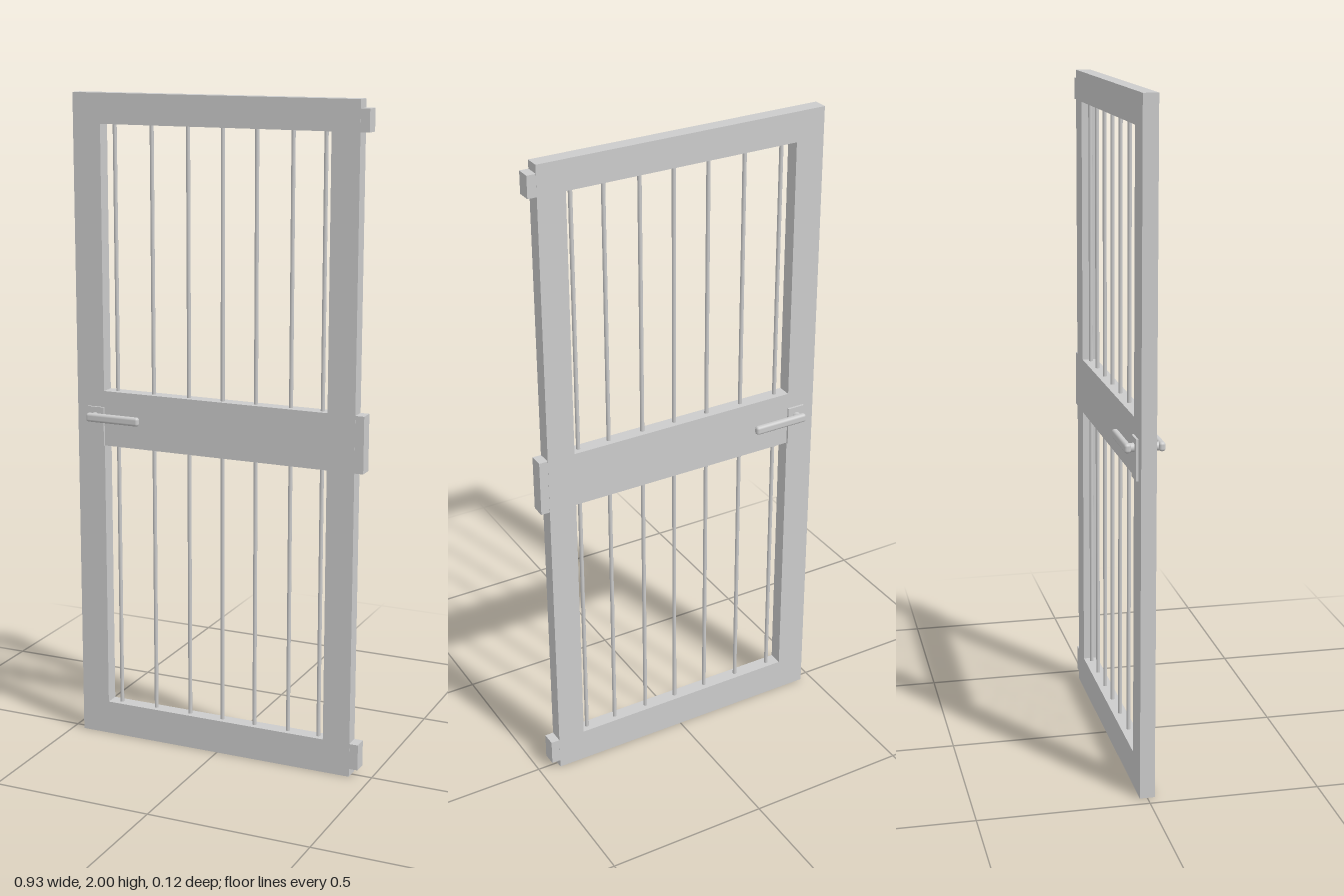
import * as THREE from 'three';
import { RoundedBoxGeometry } from 'three/addons/geometries/RoundedBoxGeometry.js';

const material = new THREE.MeshStandardMaterial({ color: 0xcccccc });

function add(parent, name, geometry, x = 0, y = 0, z = 0) {
  const mesh = new THREE.Mesh(geometry, material);
  mesh.name = name;
  mesh.position.set(x, y, z);
  parent.add(mesh);
  return mesh;
}

function rectangle(path, x0, y0, x1, y1) {
  path.moveTo(x0, y0);
  path.lineTo(x1, y0);
  path.lineTo(x1, y1);
  path.lineTo(x0, y1);
  path.closePath();
  return path;
}

export function createModel() {
  const gate = new THREE.Group();
  gate.name = 'barredDoor';

  // Frame with two openings split by the middle rail
  const outline = rectangle(new THREE.Shape(), -0.465, 0, 0.435, 2);
  outline.holes.push(
    rectangle(new THREE.Path(), -0.375, 0.105, 0.35, 0.94),
    rectangle(new THREE.Path(), -0.375, 1.11, 0.35, 1.91)
  );
  const frame = new THREE.ExtrudeGeometry(outline, { depth: 0.044, bevelEnabled: false });
  add(gate, 'frame', frame, 0, 0, -0.022);

  // Upright bars in both openings
  const bars = new THREE.Group();
  bars.name = 'bars';
  gate.add(bars);
  for (const x of [-0.338, -0.217, -0.1, 0.01, 0.117, 0.228, 0.327]) {
    for (const [y0, y1] of [[0.1, 0.945], [1.105, 1.915]]) {
      add(bars, 'bar', new THREE.CylinderGeometry(0.006, 0.006, y1 - y0, 12), x, (y0 + y1) / 2, 0);
    }
  }

  // Hinge blocks along the left edge
  for (const [y0, y1] of [[0.025, 0.105], [0.94, 1.11], [1.91, 1.975]]) {
    add(gate, 'hinge', new THREE.BoxGeometry(0.04, y1 - y0, 0.043), 0.442, (y0 + y1) / 2, 0);
  }

  // Latch plate, spindle and lever on each face
  for (const side of [1, -1]) {
    const handle = new THREE.Group();
    handle.name = side > 0 ? 'frontHandle' : 'backHandle';
    gate.add(handle);
    add(handle, 'latchPlate', new THREE.BoxGeometry(0.055, 0.12, 0.01), -0.402, 1.0, side * 0.024);
    const spindle = new THREE.CylinderGeometry(0.013, 0.013, 0.022, 20);
    add(handle, 'spindle', spindle, -0.402, 1.03, side * 0.036).rotation.x = Math.PI / 2;
    add(handle, 'lever', new RoundedBoxGeometry(0.176, 0.027, 0.019, 3, 0.008), -0.333, 1.031, side * 0.049);
  }

  return gate;
}
